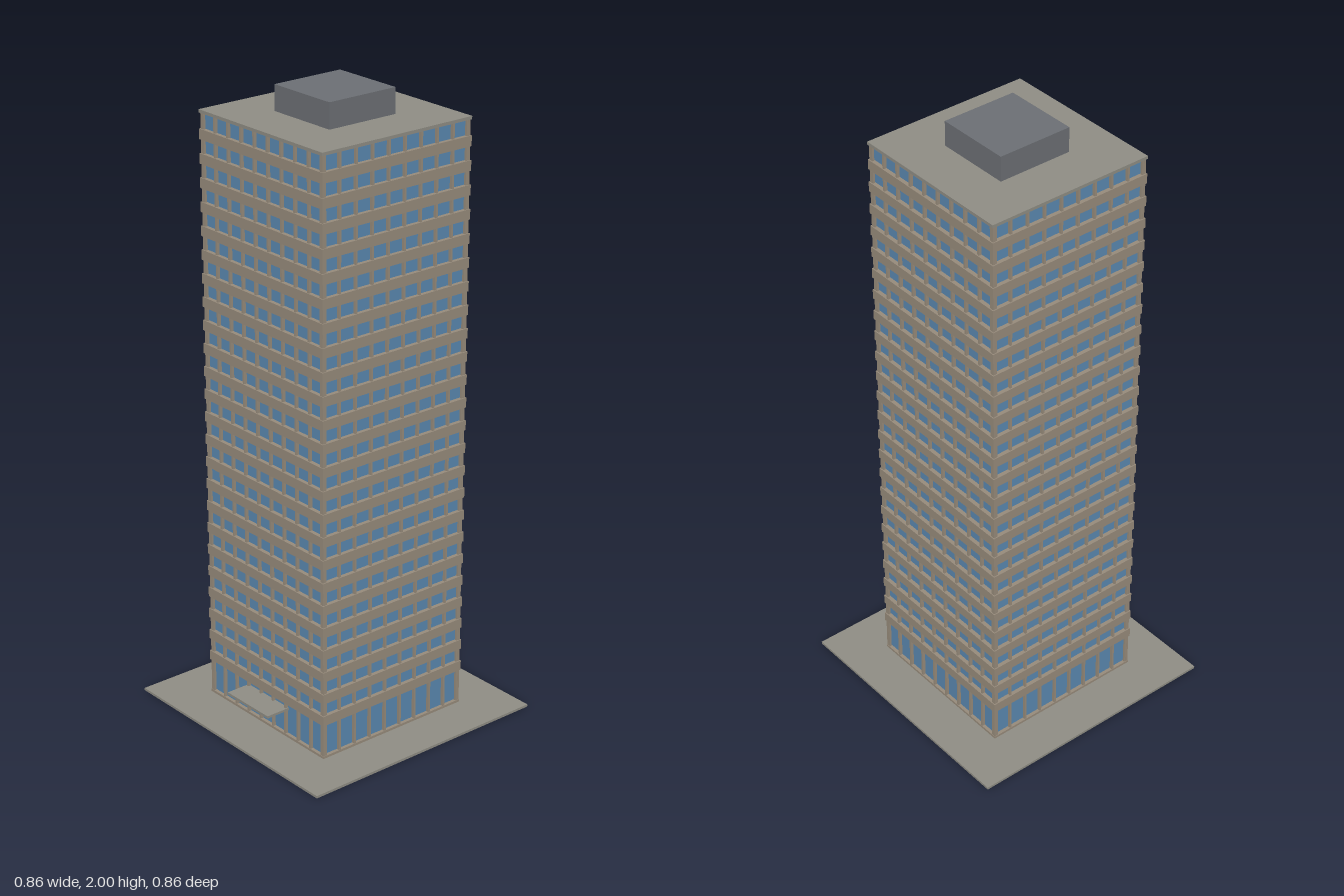
import * as THREE from 'three';

const GROUND = 0.008, ROOF = 1.92, FIRST = 0.138, FLOORS = 24, BAYS = 9;

function material(name, color) {
  const m = new THREE.MeshStandardMaterial({ color });
  m.name = name;
  return m;
}

export function createModel() {
  const model = new THREE.Group();
  model.name = 'officeTower';
  const glass = material('blue glass', 0x5a88b0);
  const stone = material('tan cladding', 0x978b7b);
  const paving = material('grey concrete', 0x8f8d84);
  const plant = material('dark grey metal', 0x6c6f74);

  // Box given by its bottom height and top height
  function box(name, mat, w, d, y0, y1, x = 0, z = 0, parent = model) {
    const mesh = new THREE.Mesh(new THREE.BoxGeometry(w, y1 - y0, d), mat);
    mesh.position.set(x, (y0 + y1) / 2, z);
    mesh.name = name;
    parent.add(mesh);
    return mesh;
  }

  // Plaza, glazed core, roof and rooftop plant room
  box('plaza', paving, 0.86, 0.86, 0, GROUND);
  box('glassCore', glass, 0.534, 0.534, GROUND, ROOF - 0.01);
  box('roofSlab', paving, 0.56, 0.56, ROOF - 0.01, ROOF);
  box('plantRoom', plant, 0.247, 0.247, ROOF, 2);
  box('baseSill', stone, 0.556, 0.556, GROUND, GROUND + 0.008);

  // Entrance canopy on the front
  box('entranceCanopy', paving, 0.197, 0.085, 0.096, 0.104, 0, 0.3075);

  // Horizontal band at every floor
  const bands = new THREE.Group();
  bands.name = 'floorBands';
  model.add(bands);
  const step = (ROOF - FIRST) / FLOORS;
  for (let i = 0; i < FLOORS; i++) {
    const y = FIRST + i * step;
    box('floorBand', stone, 0.56, 0.56, y - 0.016, y + 0.016, 0, 0, bands);
  }

  // Vertical mullions, repeated on the four sides
  for (let side = 0; side < 4; side++) {
    const face = new THREE.Group();
    face.name = 'mullions';
    face.rotation.y = side * Math.PI / 2;
    model.add(face);
    for (let i = 0; i <= BAYS; i++) {
      const x = (i / BAYS - 0.5) * 0.546;
      box('mullion', stone, 0.007, 0.014, GROUND, ROOF - 0.01, x, 0.27, face);
    }
  }
  return model;
}
